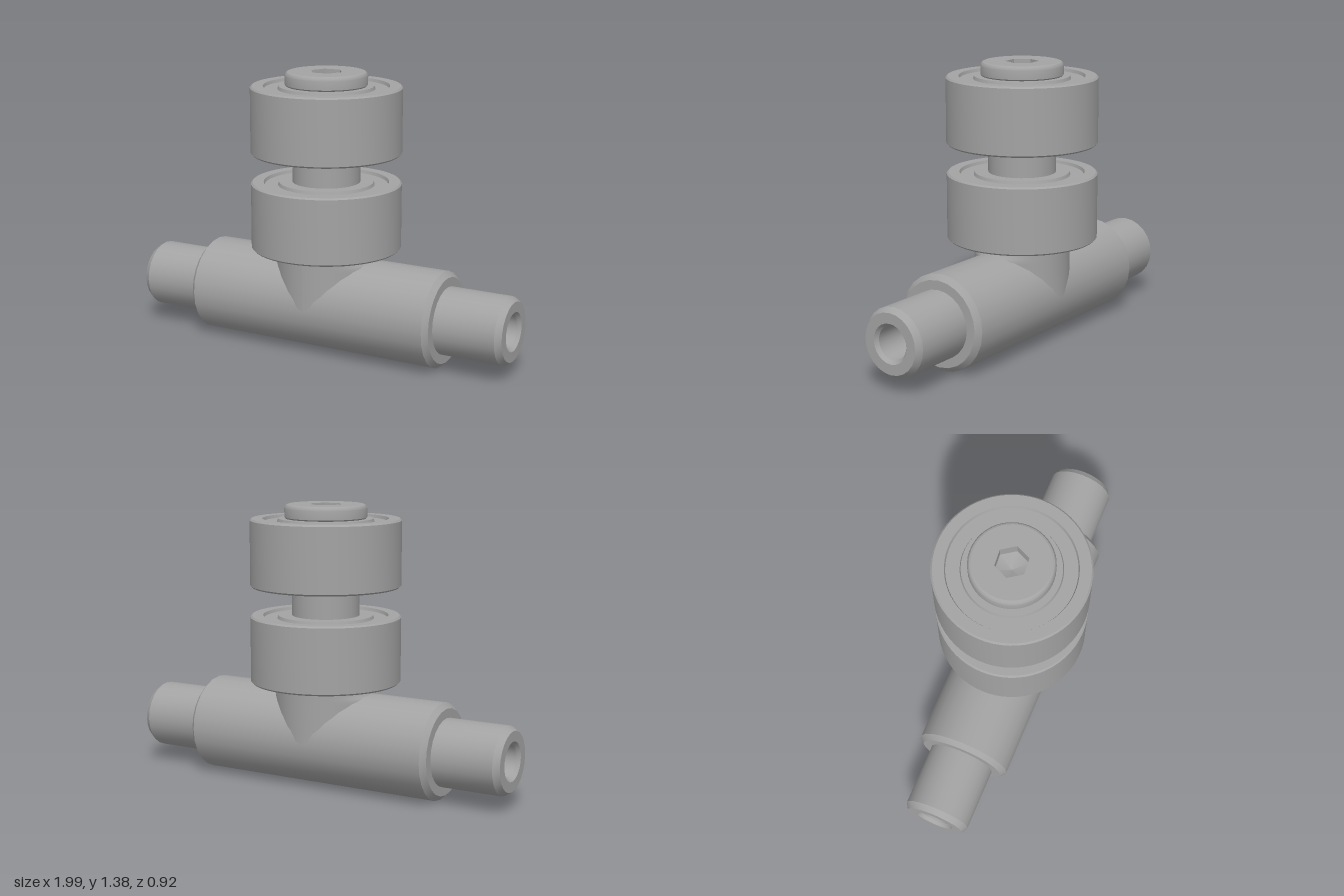
import * as THREE from 'three';
import { toCreasedNormals } from 'three/addons/utils/BufferGeometryUtils.js';

const steel = new THREE.MeshStandardMaterial({ color: 0xa3a3a3 });
steel.name = 'steel grey';

const AXLE_Y = 0.235;
const AXLE_TURN = 0.32;

function part(name, geometry) {
  const mesh = new THREE.Mesh(geometry, steel);
  mesh.name = name;
  return mesh;
}

// Turned part from [radius, height] pairs, listed bottom to top on the outside
function turned(points, segments) {
  const profile = points.map(([r, y]) => new THREE.Vector2(r, y));
  return toCreasedNormals(new THREE.LatheGeometry(profile, segments), 0.5);
}

// Stepped cross axle with a drilled hole in each end
function makeAxle() {
  const half = [
    [0, 0.65], [0.08, 0.65], [0.08, 0.982], [0.095, 1.0], [0.145, 1.0],
    [0.165, 0.97], [0.165, 0.66], [0.21, 0.66], [0.235, 0.635],
  ];
  const lower = half.map(([r, y]) => [r, -y]);
  const axle = part('crossAxle', turned([...lower, ...half.slice().reverse()], 24));
  axle.rotation.z = -Math.PI / 2;
  return axle;
}

// Upright neck whose fillet flares only along the axle direction
function makeNeck() {
  const profile = [[0.235, 0], [0.235, 0.2]];
  for (let i = 0; i <= 5; i++) profile.push([0.235, 0.215 + i * 0.012]);
  const geo = new THREE.LatheGeometry(profile.map(([r, y]) => new THREE.Vector2(r, y)), 48);
  const pos = geo.attributes.position;
  for (let i = 0; i < pos.count; i++) {
    const along = Math.abs(pos.getX(i)) / 0.235;
    const t = THREE.MathUtils.clamp((0.275 - pos.getY(i)) / 0.06, 0, 1);
    const k = 1 + 0.13 * t * t * Math.pow(along, 8);
    pos.setX(i, pos.getX(i) * k);
    pos.setZ(i, pos.getZ(i) * k);
  }
  geo.computeVertexNormals();
  return part('neck', geo);
}

// Bearing ring with a shallow recessed shield on both faces
function makeBearing(name, y) {
  const h = 0.165, d = 0.015, R = 0.367, c = 0.008;
  const top = [
    [R, h - c], [R - c, h], [0.305, h], [0.3, h - d], [0.235, h - d], [0.23, h], [0.16, h],
  ];
  const bottom = top.map(([r, v]) => [r, -v]).reverse();
  const bearing = part(name, turned([...bottom, ...top], 64));
  bearing.position.y = y;
  return bearing;
}

// Bolt head with a hexagonal socket
function makeBoltHead() {
  const head = new THREE.Group();
  head.name = 'boltHead';
  head.add(part('headRim', turned([
    [0.16, 1.308], [0.193, 1.308], [0.2, 1.316], [0.2, 1.358], [0.197, 1.368], [0.191, 1.375], [0.183, 1.378],
  ], 48)));

  const face = new THREE.Shape().absarc(0, 0, 0.183, 0, Math.PI * 2);
  const hex = [];
  for (let i = 0; i < 6; i++) {
    const a = Math.PI / 2 + (i * Math.PI) / 3;
    hex.push(new THREE.Vector2(0.08 * Math.cos(a), 0.08 * Math.sin(a)));
  }
  face.holes.push(new THREE.Path(hex));
  const faceGeo = new THREE.ShapeGeometry(face, 24);
  faceGeo.rotateX(-Math.PI / 2);
  faceGeo.translate(0, 1.378, 0);
  head.add(part('headFace', faceGeo));

  head.add(part('hexSocket', turned([[0.08, 1.378], [0.08, 1.32], [0, 1.285]], 6)));
  head.rotation.y = -0.12;
  return head;
}

export function createModel() {
  const model = new THREE.Group();
  model.name = 'rollerFitting';

  const base = new THREE.Group();
  base.name = 'teeBase';
  base.position.y = AXLE_Y;
  base.rotation.y = AXLE_TURN;
  base.add(makeAxle(), makeNeck());
  model.add(base);

  // Pin that carries both bearings
  model.add(part('pin', turned([[0.165, 0.45], [0.165, 1.3]], 48)));
  model.add(makeBearing('lowerBearing', 0.675));
  model.add(makeBearing('upperBearing', 1.145));
  model.add(makeBoltHead());
  return model;
}
